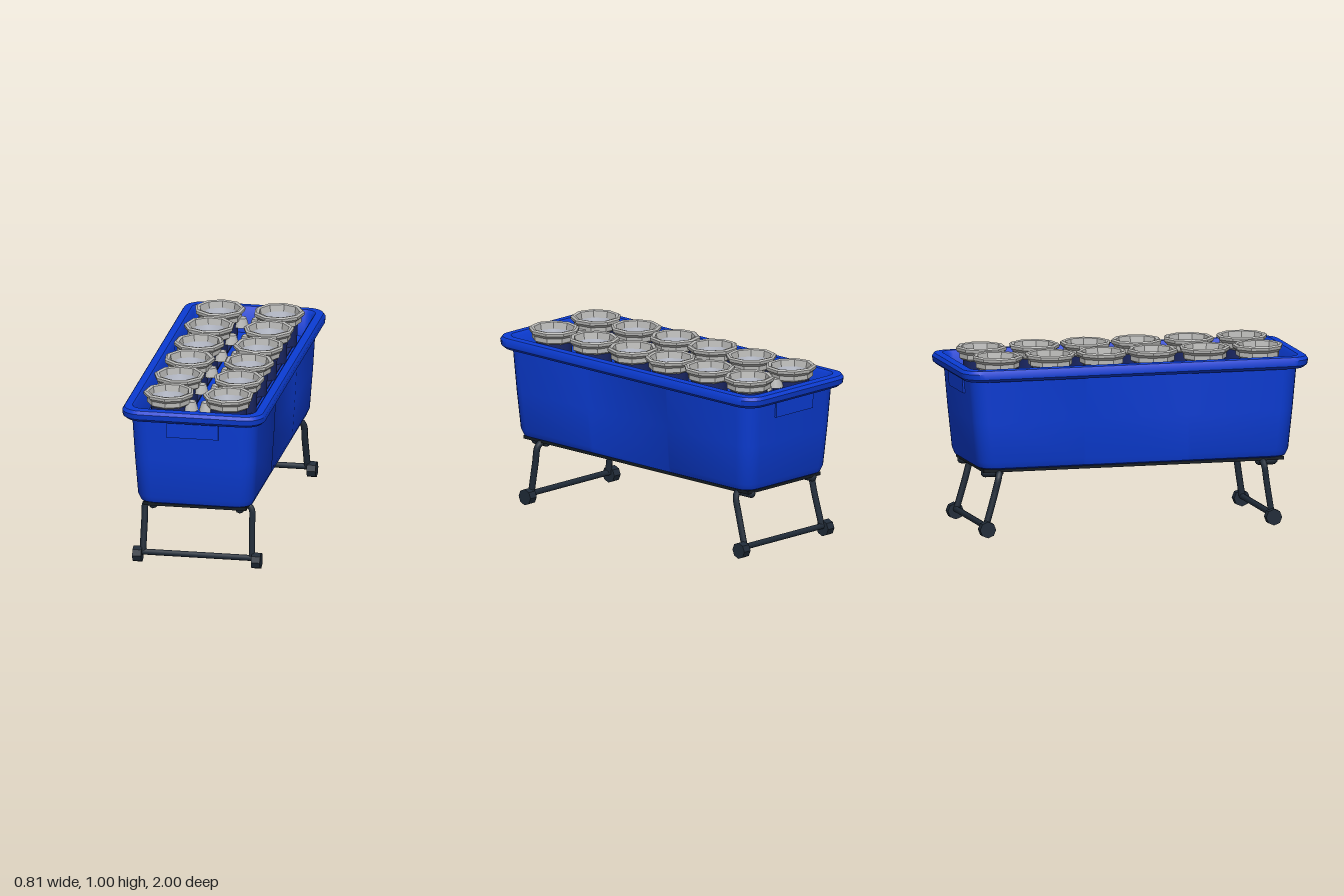
import * as THREE from 'three';
import { toCreasedNormals } from 'three/addons/utils/BufferGeometryUtils.js';

const material = (name, color) => new THREE.MeshStandardMaterial({ name, color });

// Rounded rectangle outline as [x, z] points; the middle of the long sides is slightly inset.
function outline(hx, hz, r, inset) {
  const pts = [];
  const corner = (cx, cz, start) => {
    for (let i = 0; i <= 6; i++) {
      const a = start + (i / 6) * Math.PI / 2;
      pts.push([cx + r * Math.cos(a), cz + r * Math.sin(a)]);
    }
  };
  const panel = (side) => {
    for (const [z, d] of [[-0.3, 0], [-0.285, inset], [0.3, inset], [0.32, 0]]) {
      pts.push([side * (hx - d), z]);
    }
  };
  panel(1);
  corner(hx - r, hz - r, 0);
  corner(-hx + r, hz - r, Math.PI / 2);
  const from = pts.length;
  panel(-1);
  pts.push(...pts.splice(from).reverse());
  corner(-hx + r, -hz + r, Math.PI);
  corner(hx - r, -hz + r, Math.PI * 1.5);
  return pts;
}

// Skin a stack of [halfX, halfZ, y, cornerRadius, inset] sections.
function loft(sections) {
  const pos = [], index = [];
  const rings = sections.map(([hx, hz, y, r, inset]) => {
    const ring = outline(hx, hz, r, inset);
    ring.forEach(([x, z]) => pos.push(x, y, z));
    return ring;
  });
  const n = rings[0].length;
  for (let i = 0; i < rings.length - 1; i++) {
    for (let j = 0; j < n; j++) {
      const a = i * n + j, b = i * n + (j + 1) % n;
      index.push(a, a + n, b + n, a, b + n, b);
    }
  }
  const g = new THREE.BufferGeometry();
  g.setAttribute('position', new THREE.Float32BufferAttribute(pos, 3));
  g.setIndex(index);
  return toCreasedNormals(g, 0.7);
}

export function createModel() {
  const model = new THREE.Group();
  model.name = 'planterTub';
  const blue = material('blue plastic', 0x0b3cd4);
  const steel = material('dark frame', 0x202b38);
  const black = material('dark underside', 0x141b22);
  const grey = material('grey collar', 0xb9b9b7);
  const pale = material('pale cup', 0xc3c8d6);
  const navy = material('navy pot', 0x1b2867);

  const add = (name, geometry, mat, x = 0, y = 0, z = 0, parent = model) => {
    const m = new THREE.Mesh(geometry, mat);
    m.name = name;
    m.position.set(x, y, z);
    parent.add(m);
    return m;
  };

  // Tub wall, rolled rim, inner wall and deck in one skin
  add('tub', loft([
    [0.285, 0.86, 0.378, 0.07, 0],
    [0.315, 0.885, 0.39, 0.08, 0],
    [0.33, 0.9, 0.425, 0.09, 0.006],
    [0.345, 0.922, 0.65, 0.095, 0.008],
    [0.357, 0.942, 0.885, 0.1, 0.008],
    [0.385, 0.975, 0.888, 0.1, 0],
    [0.402, 0.995, 0.905, 0.11, 0],
    [0.404, 1.0, 0.935, 0.11, 0],
    [0.392, 0.988, 0.953, 0.1, 0],
    [0.35, 0.945, 0.956, 0.07, 0],
    [0.337, 0.93, 0.94, 0.06, 0],
    [0.325, 0.915, 0.81, 0.05, 0.008],
    [0.01, 0.6, 0.805, 0.01, 0],
    [0.0001, 0.59, 0.805, 0.0001, 0],
  ]), blue);
  for (const s of [1, -1]) {
    const grip = add('gripPanel', new THREE.BoxGeometry(0.295, 0.09, 0.014), blue, 0, 0.84, s * 0.941);
    grip.rotation.x = s * 0.03;
  }

  // Underside
  add('basePlate', new THREE.BoxGeometry(0.58, 0.02, 1.73), black, 0, 0.374, 0);
  for (const z of [0.45, -0.45]) {
    add('basePanel', new THREE.BoxGeometry(0.38, 0.008, 0.5), black, 0, 0.362, z);
  }

  // Dark channels under the two rows
  for (const x of [-0.168, 0.168]) {
    add('rowChannel', new THREE.BoxGeometry(0.17, 0.008, 1.6), navy, x, 0.811, 0);
  }

  // Pots with faceted collars and hollow cups
  const lathe = (pts, sides) =>
    new THREE.LatheGeometry(pts.map(([r, y]) => new THREE.Vector2(r, y)), sides);
  const collarShape = toCreasedNormals(lathe([
    [0.1, 0.925], [0.124, 0.94], [0.124, 0.966], [0.141, 0.982],
    [0.143, 0.998], [0.132, 1.006], [0.115, 1.002], [0.108, 0.965],
  ], 9), 0.5);
  const cupShape = lathe([[0.108, 0.965], [0.1, 0.88], [0.088, 0.83], [0, 0.825]], 9);
  const bodyShape = lathe([[0.1, 0.8], [0.105, 0.93]], 12);
  const tabShape = new THREE.CylinderGeometry(0.03, 0.045, 0.05, 8);
  [-0.755, -0.45, -0.152, 0.14, 0.44, 0.748].forEach((z, row) => {
    for (const s of [1, -1]) {
      const pot = new THREE.Group();
      pot.name = 'pot';
      pot.position.set(s * 0.168, 0, z);
      model.add(pot);
      const turn = row * 0.9 + s * 0.3;
      add('collar', collarShape, grey, 0, 0, 0, pot).rotation.y = turn;
      add('cup', cupShape, pale, 0, 0, 0, pot).rotation.y = turn;
      add('potBody', bodyShape, navy, 0, 0, 0, pot);
      add('collarTab', tabShape, grey, -s * 0.122, 0.925, 0, pot);
    }
  });

  // Splayed leg frames: bent tubes, a crossbar, pivots and drum feet
  const footShape = toCreasedNormals(
    new THREE.CylinderGeometry(0.046, 0.046, 0.05, 8).rotateZ(Math.PI / 2), 0.5);
  for (const [name, top, foot] of [['frontLeg', 0.745, 0.79], ['backLeg', -0.775, -0.86]]) {
    const frame = new THREE.Group();
    frame.name = name;
    model.add(frame);
    for (const s of [1, -1]) {
      const path = new THREE.CatmullRomCurve3([
        [0.24, 0.357, top], [0.28, 0.36, top], [0.301, 0.335, top + (foot - top) * 0.1],
        [0.304, 0.25, top + (foot - top) * 0.36], [0.309, 0.06, foot],
      ].map(([x, y, z]) => new THREE.Vector3(s * x, y, z)), false, 'centripetal');
      add('legTube', new THREE.TubeGeometry(path, 24, 0.0185, 8), steel, 0, 0, 0, frame);
      add('foot', footShape, steel, s * 0.336, 0.053, foot, frame);
      const pivot = add('pivot', new THREE.CapsuleGeometry(0.025, 0.08, 4, 8), steel,
        s * 0.245, 0.357, top + Math.sign(top) * 0.03, frame);
      pivot.rotation.x = Math.PI / 2;
    }
    add('crossbar', new THREE.CylinderGeometry(0.0175, 0.0175, 0.63, 8).rotateZ(Math.PI / 2),
      steel, 0, 0.066, foot, frame);
  }
  return model;
}
